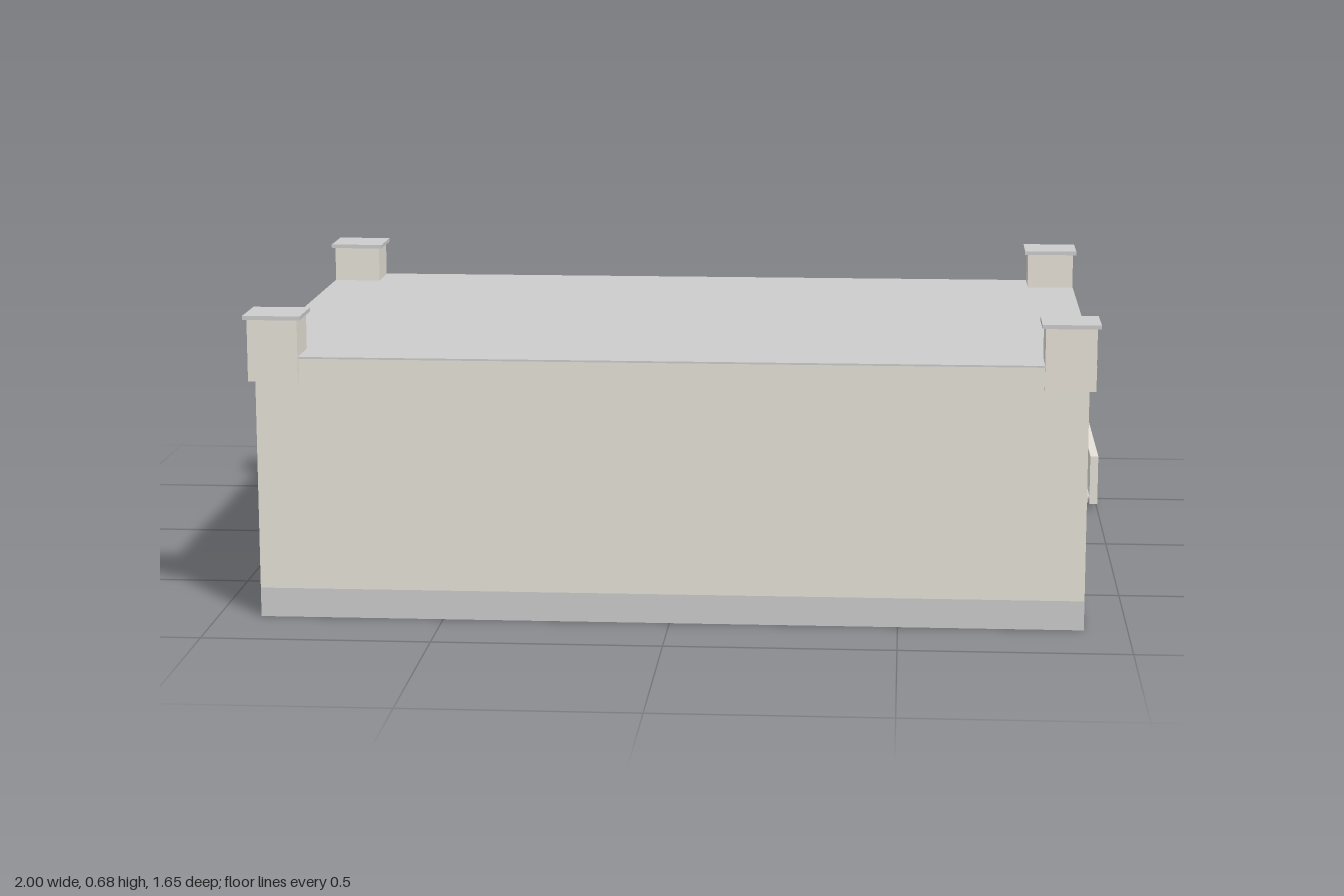
import * as THREE from 'three';

const material = (name, color) => {
  const m = new THREE.MeshStandardMaterial({ color });
  m.name = name;
  return m;
};

export function createModel() {
  const model = new THREE.Group();
  model.name = 'depotBuilding';
  const stone = material('pale stone', 0xe6e2d8);
  const concrete = material('grey concrete', 0xcccccc);
  const brass = material('brass', 0xc4a75a);
  const glass = material('blue grey glass', 0x8e99a3);

  // Box given by its minimum and maximum corners
  const box = (name, mat, [x0, y0, z0], [x1, y1, z1], parent = model) => {
    const mesh = new THREE.Mesh(new THREE.BoxGeometry(x1 - x0, y1 - y0, z1 - z0), mat);
    mesh.position.set((x0 + x1) / 2, (y0 + y1) / 2, (z0 + z1) / 2);
    mesh.name = name;
    parent.add(mesh);
    return mesh;
  };

  // Main block: plinth, walls, cornice and roof
  box('plinth', concrete, [-0.905, 0, -0.37], [0.905, 0.065, 0.81]);
  box('walls', stone, [-0.905, 0.065, -0.37], [0.905, 0.531, 0.81]);
  box('cornice', stone, [-0.917, 0.531, -0.378], [0.917, 0.581, 0.811]);
  box('roof', concrete, [-0.92, 0.581, -0.385], [0.92, 0.585, 0.816]);

  // Corner turrets with flat caps
  for (const s of [-1, 1]) {
    for (const z of [-0.323, 0.765]) {
      const turret = new THREE.Group();
      turret.name = 'cornerTurret';
      turret.position.set(s * 0.864, 0, z);
      box('turretBody', stone, [-0.055, 0.53, -0.055], [0.055, 0.667, 0.055], turret);
      box('turretCap', concrete, [-0.063, 0.667, -0.062], [0.063, 0.676, 0.062], turret);
      model.add(turret);
    }
    // Ledge running along each side wall
    box('sideLedge', concrete, [s * 0.9125 - 0.0075, 0.236, -0.37], [s * 0.9125 + 0.0075, 0.246, 0.59]);
    // Side parapets of the rear platform
    box('platformParapet', stone, [s * 0.99 - 0.01, 0.014, -0.825], [s * 0.99 + 0.01, 0.137, -0.375]);
  }

  // Canopy and thin platform deck at the back
  box('canopy', concrete, [-0.92, 0.236, -0.607], [0.92, 0.246, -0.37]);
  box('platform', concrete, [-0.98, 0.03, -0.825], [0.98, 0.034, -0.372]);

  // Two rows of windows on the back wall: brass jambs, glass pane, grey mullion
  const backWindow = (x, y0, y1) => {
    const group = new THREE.Group();
    group.name = 'window';
    group.position.x = x;
    box('pane', glass, [-0.02, y0, -0.373], [0.02, y1, -0.37], group);
    box('mullion', concrete, [-0.006, y0, -0.378], [0.006, y1, -0.37], group);
    for (const s of [-1, 1]) {
      box('jamb', brass, [s * 0.02 - 0.004, y0, -0.375], [s * 0.02 + 0.004, y1, -0.37], group);
    }
    model.add(group);
  };
  for (let i = -5; i <= 5; i++) {
    backWindow(i * 0.153, 0.327, 0.427);
    backWindow(i * 0.153, 0.13, 0.225);
  }

  // Thin railing along the platform edge, its posts grouped towards the ends
  box('handrail', brass, [-0.98, 0.129, -0.823], [0.98, 0.132, -0.821]);
  for (const s of [-1, 1]) {
    for (let i = 0; i < 5; i++) {
      const x = s * (0.23 + i * 0.16);
      box('railingPost', brass, [x - 0.0015, 0.034, -0.8235], [x + 0.0015, 0.129, -0.8205]);
    }
  }
  return model;
}
